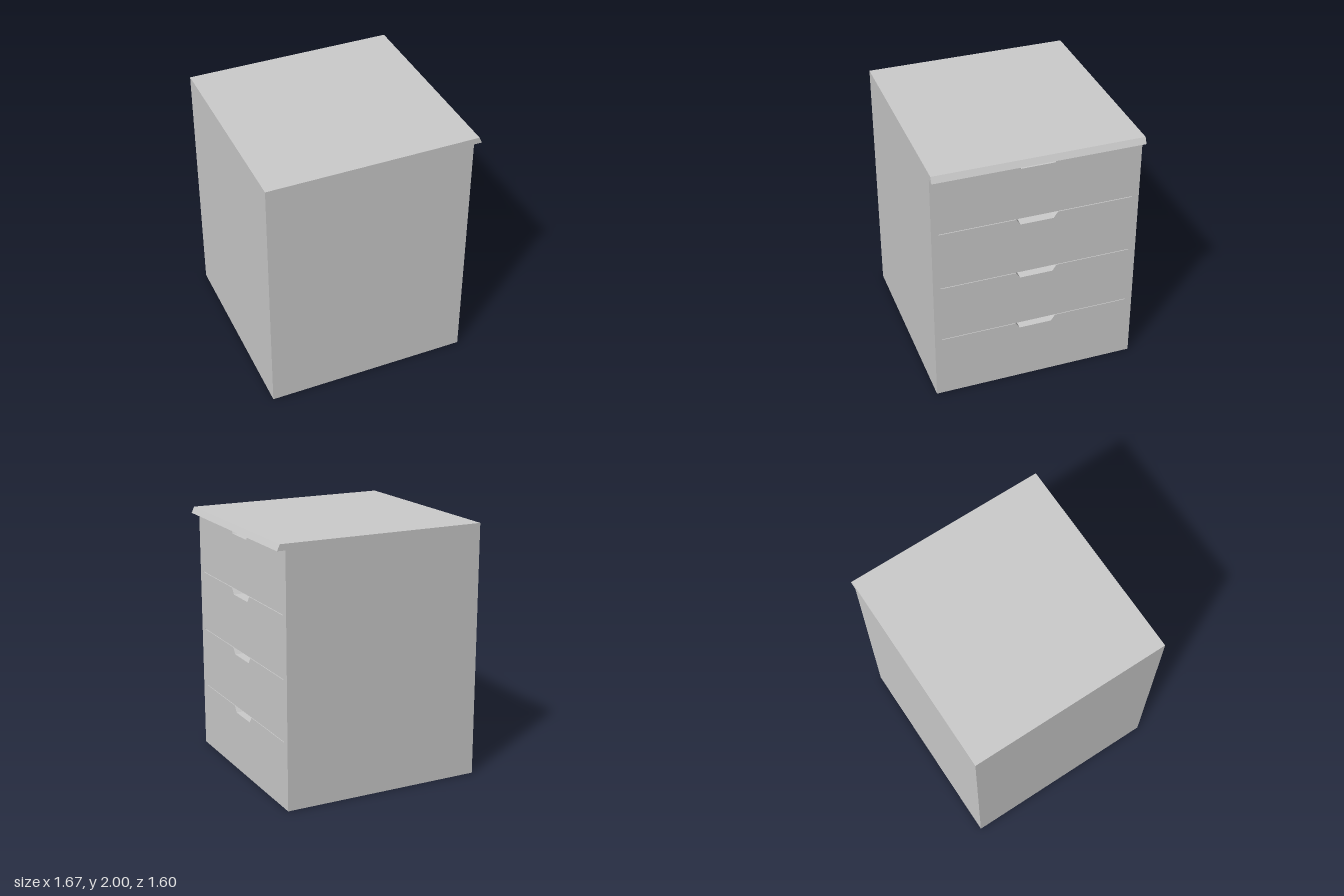
import * as THREE from 'three';

const HALF = 0.802;          // half width across the drawers
const FRONT = 0.77;          // drawer face
const DEPTH = 0.1;           // depth of the finger pulls
const LIP_Y = 1.952;         // underside of the top lip
const SEAMS = [1.48, 1.002, 0.525];

const toShape = (pts) => new THREE.Shape(pts.map(([x, y]) => new THREE.Vector2(x, y)));

function extrude(shape, depth) {
  return new THREE.ExtrudeGeometry(shape, { depth, bevelEnabled: false });
}

export function createModel() {
  const group = new THREE.Group();
  group.name = 'drawerCabinet';
  const material = new THREE.MeshStandardMaterial({ color: 0xcccccc, flatShading: true });

  // Carcass with the slanted lip of the top, extruded along z
  const back = FRONT - DEPTH;
  const carcass = new THREE.Mesh(extrude(toShape([
    [-0.834, 0], [back, 0], [back, LIP_Y], [0.834, LIP_Y], [0.812, 2], [-0.834, 2],
  ]), HALF * 2), material);
  carcass.name = 'carcassAndTop';
  carcass.position.z = -HALF;
  group.add(carcass);

  // Drawer fronts: one panel, notched under the lip for the top finger pull
  const panel = toShape([
    [-HALF, 0], [HALF, 0], [HALF, LIP_Y], [0.165, LIP_Y], [0.128, LIP_Y - 0.052],
    [-0.128, LIP_Y - 0.052], [-0.165, LIP_Y], [-HALF, LIP_Y],
  ]);
  // Each seam is a thin slot joined to a trapezoid finger pull
  for (const y of SEAMS) {
    const s = y - 0.005;
    panel.holes.push(toShape([
      [-0.747, y], [0.747, y], [0.747, s], [0.161, s], [0.128, y - 0.053],
      [-0.128, y - 0.053], [-0.161, s], [-0.747, s],
    ]));
  }
  const fronts = new THREE.Mesh(extrude(panel, DEPTH), material);
  fronts.name = 'drawerFronts';
  fronts.rotation.y = Math.PI / 2;
  fronts.position.x = back;
  group.add(fronts);

  return group;
}
